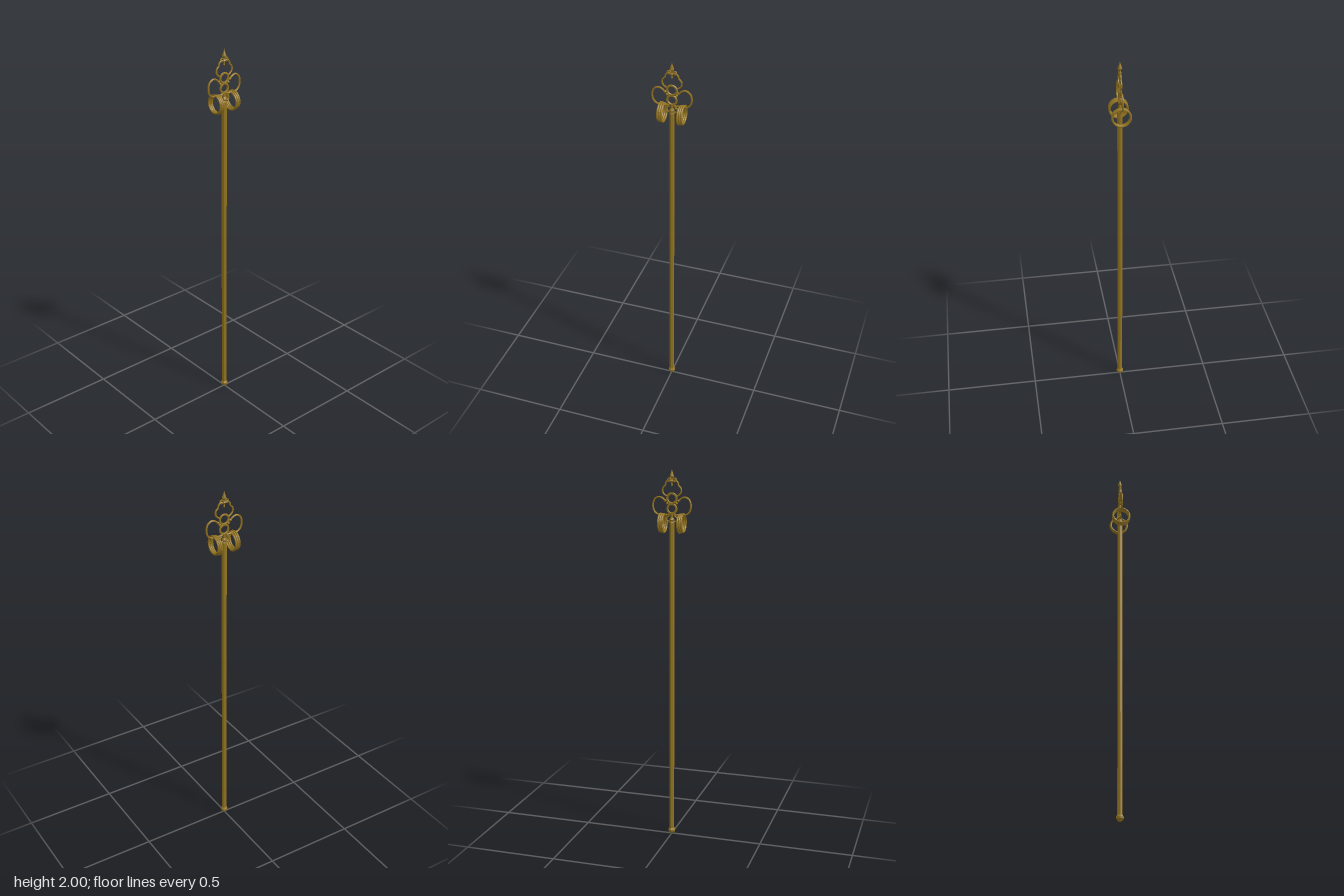
import * as THREE from 'three';

export function createModel() {
  const staff = new THREE.Group();
  staff.name = 'ringedStaff';
  const brass = new THREE.MeshStandardMaterial({ color: 0x92731f, flatShading: true });
  brass.name = 'aged brass';

  const add = (name, geometry, x = 0, y = 0, z = 0) => {
    const mesh = new THREE.Mesh(geometry, brass);
    mesh.name = name;
    mesh.position.set(x, y, z);
    staff.add(mesh);
    return mesh;
  };
  const lathe = (name, profile, sides = 8) =>
    add(name, new THREE.LatheGeometry(profile.map(([r, y]) => new THREE.Vector2(r, y)), sides));
  // Bent bar lying in the x-y plane
  const bar = (name, points, side, radius = 0.005, segments = 32) => {
    const curve = new THREE.CatmullRomCurve3(points.map(([x, y]) => new THREE.Vector3(side * x, y, 0)));
    add(name, new THREE.TubeGeometry(curve, segments, radius, 6, false));
  };

  // Pole with its foot knob and top collar
  lathe('pole', [[0, 0.02], [0.0135, 0.02], [0.0135, 1.725], [0.009, 1.735], [0, 1.735]]);
  lathe('footKnob', [[0, 0.005], [0.012, 0.005], [0.0195, 0.015], [0.0195, 0.025], [0.013, 0.035], [0, 0.035]]);
  lathe('footTip', [[0, 0], [0.008, 0.001], [0.012, 0.008], [0, 0.008]]);
  lathe('topCollar', [[0, 1.73], [0.008, 1.73], [0.014, 1.742], [0.007, 1.754], [0.007, 1.775], [0, 1.775]]);

  // Two stacked rings in the middle of the head
  add('lowerCentreRing', new THREE.TorusGeometry(0.024, 0.006, 6, 24), 0, 1.797);
  add('upperCentreRing', new THREE.TorusGeometry(0.025, 0.006, 6, 24), 0, 1.85);

  // Spear finial on its stem
  lathe('finial', [[0, 1.91], [0.005, 1.917], [0.004, 1.93], [0.009, 1.938], [0.004, 1.945],
    [0.005, 1.953], [0.012, 1.962], [0.009, 1.972], [0.004, 1.985], [0, 2]]);

  for (const side of [1, -1]) {
    // Wide lower lobe, starting at the collar and ending in an inward curl
    bar('lowerLobe', [[0.005, 1.772], [0.025, 1.766], [0.047, 1.769], [0.072, 1.767], [0.093, 1.781],
      [0.102, 1.812], [0.094, 1.843], [0.072, 1.857], [0.049, 1.85], [0.036, 1.836]], side, 0.005, 48);
    // Narrow upper lobe closing the frame under the finial
    bar('upperLobe', [[0.028, 1.862], [0.038, 1.868], [0.049, 1.882], [0.048, 1.903],
      [0.036, 1.916], [0.032, 1.93], [0.019, 1.942], [0.004, 1.938]], side, 0.0045);
    // Little scrolls and beads
    bar('neckScroll', [[0.005, 1.737], [0.018, 1.731], [0.028, 1.738], [0.029, 1.75], [0.019, 1.757], [0.009, 1.772]], side, 0.0045, 20);
    add('lobeBead', new THREE.SphereGeometry(0.007, 8, 6), side * 0.035, 1.838);
    add('crossBead', new THREE.SphereGeometry(0.007, 8, 6), side * 0.025, 1.825);
    add('topScroll', new THREE.TorusGeometry(0.009, 0.0035, 6, 12), side * 0.015, 1.944);
    // Three loose rings hanging from the lower lobe
    for (let i = 0; i < 3; i++) {
      const ring = add('hangingRing', new THREE.TorusGeometry(0.046, 0.0053, 8, 28),
        side * (0.0415 + i * 0.01), 1.721 + i * 0.002);
      ring.rotation.y = Math.PI / 2;
    }
  }
  return staff;
}
